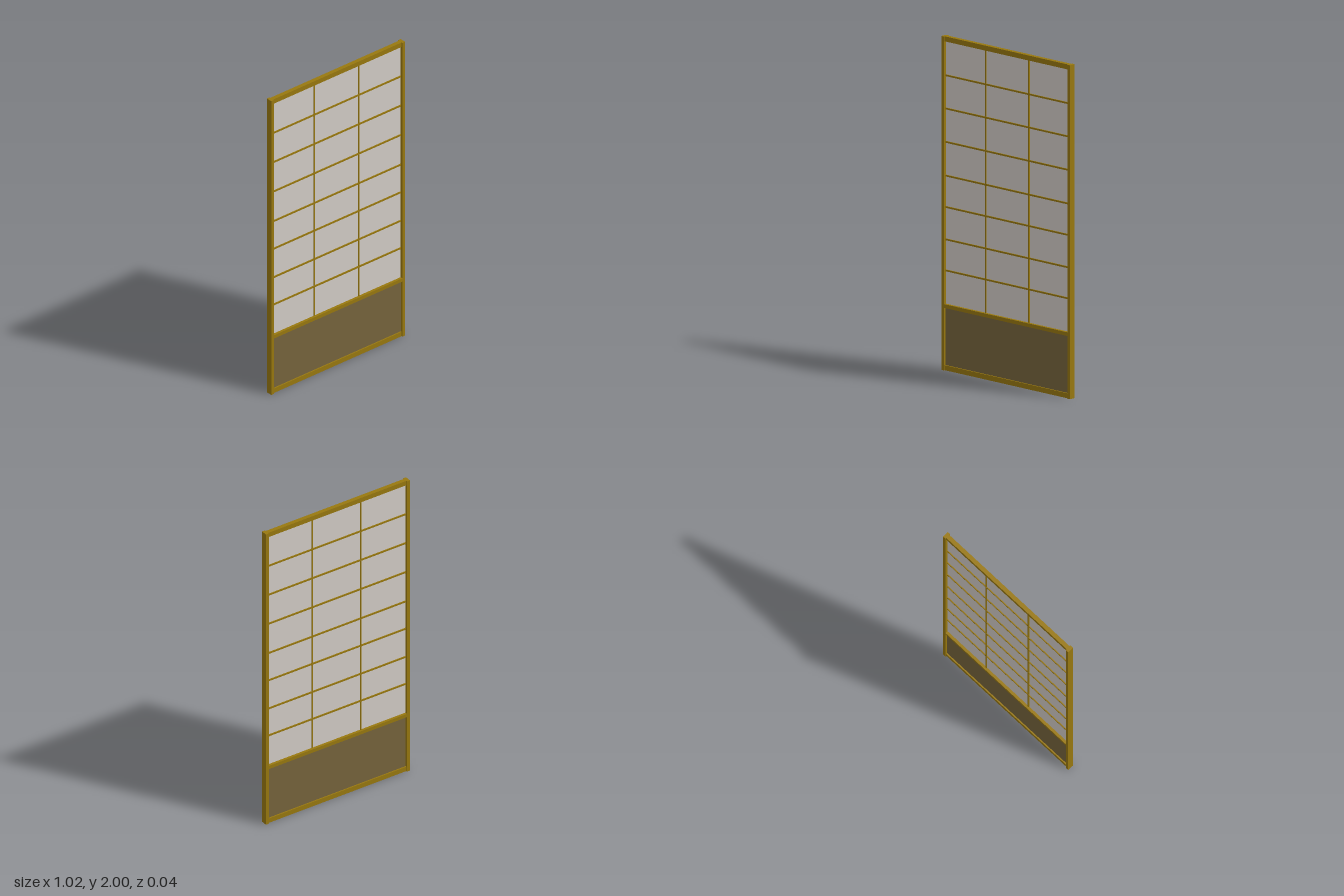
import * as THREE from 'three';

export function createModel() {
  const group = new THREE.Group();
  const wood = new THREE.MeshStandardMaterial({ color: 0x98780f });
  const paper = new THREE.MeshStandardMaterial({ color: 0xd2ccc6 });
  const board = new THREE.MeshStandardMaterial({ color: 0x76643c });

  // Box given by its x and y limits, centred on z = 0
  function slab(name, x0, x1, y0, y1, depth, material) {
    const mesh = new THREE.Mesh(new THREE.BoxGeometry(x1 - x0, y1 - y0, depth), material);
    mesh.position.set((x0 + x1) / 2, (y0 + y1) / 2, 0);
    mesh.name = name;
    group.add(mesh);
  }

  const outer = 0.51, inner = 0.49;

  // Frame: upright stiles and three cross rails
  slab('leftStile', inner, outer, 0, 2, 0.04, wood);
  slab('rightStile', -outer, -inner, 0, 2, 0.04, wood);
  slab('topRail', -inner, inner, 1.97, 2, 0.026, wood);
  slab('middleRail', -inner, inner, 0.375, 0.397, 0.038, wood);
  slab('bottomRail', -inner, inner, 0, 0.03, 0.026, wood);

  // Infill: paper above, solid board below
  slab('paperScreen', -inner, inner, 0.397, 1.97, 0.004, paper);
  slab('lowerPanel', -inner, inner, 0.03, 0.375, 0.01, board);

  // Lattice bars, showing on both faces of the paper
  for (const y of [0.597, 0.783, 0.977, 1.165, 1.367, 1.567, 1.766]) {
    slab('horizontalBar', -inner, inner, y - 0.005, y + 0.005, 0.016, wood);
  }
  for (const x of [-0.171, 0.171]) {
    slab('verticalBar', x - 0.004, x + 0.004, 0.397, 1.97, 0.014, wood);
  }

  return group;
}
